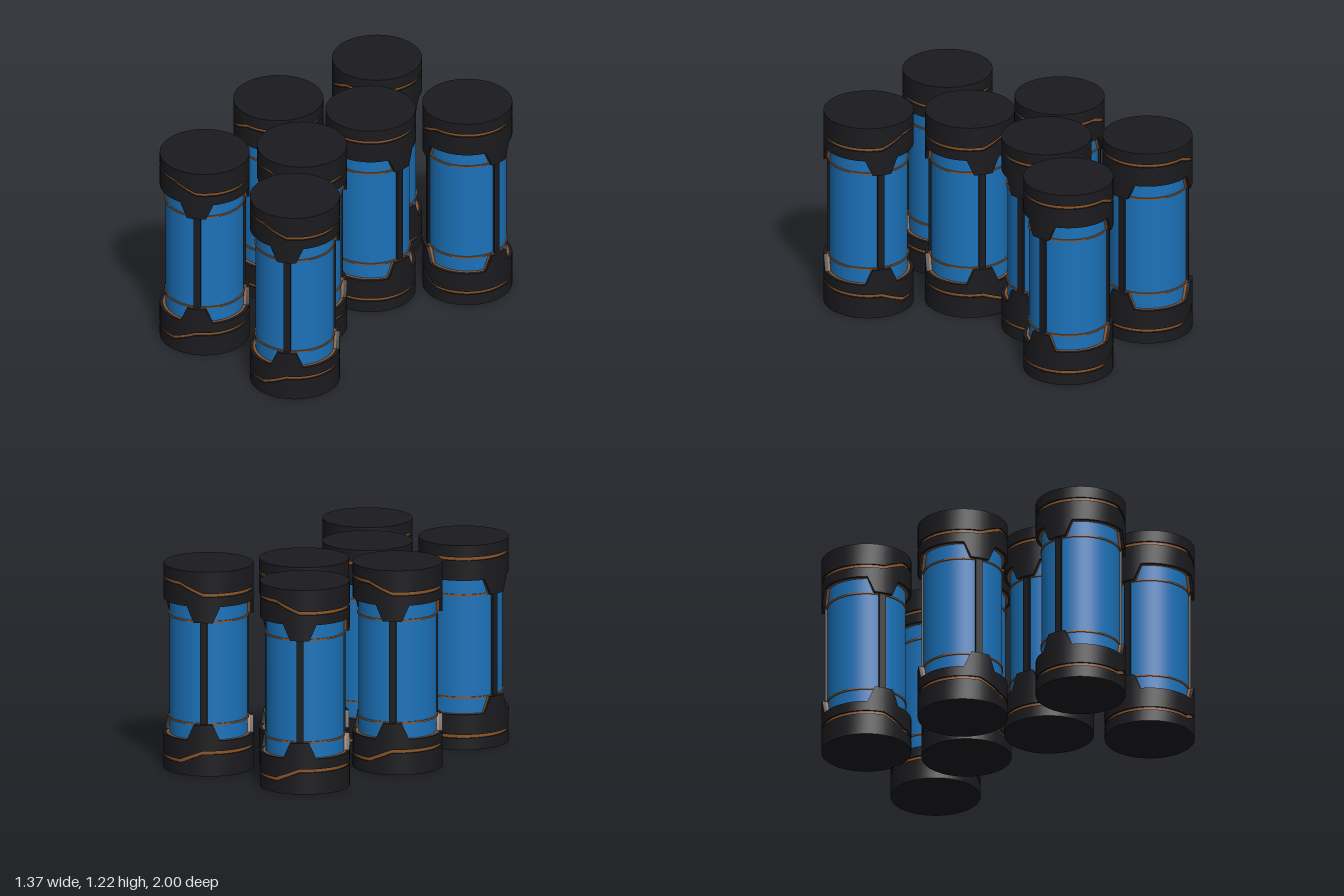
import * as THREE from 'three';
import { toCreasedNormals } from 'three/addons/utils/BufferGeometryUtils.js';

const HEIGHT = 1.22;
const RIBS = [33, 147, 270]; // rib directions in degrees, measured from +z towards +x
const RIM = 0.21, TIP = 0.305; // cap edge and claw tip heights
const BASE_HALF = 22, TIP_HALF = 12.5; // claw half widths in degrees

const dark = new THREE.MeshStandardMaterial({ color: 0x1b1b1f });
const blue = new THREE.MeshStandardMaterial({ color: 0x1b72ba });
const copper = new THREE.MeshStandardMaterial({ color: 0x8c5528 });

// Sampled angles, including every corner of the outlines
const corners = [33, 147, 180];
for (const c of RIBS) for (const d of [BASE_HALF, TIP_HALF]) corners.push(c - d, c + d);
for (let a = 0; a <= 360; a += 5) corners.push(a);
const ANGLES = [...new Set(corners)].sort((a, b) => a - b);

// Cap edge: a flat rim with a tapered claw at each rib
function capEdge(a) {
  let h = RIM;
  for (const c of RIBS) {
    const d = Math.abs(a - c);
    const t = THREE.MathUtils.clamp((BASE_HALF - d) / (BASE_HALF - TIP_HALF), 0, 1);
    h = Math.max(h, THREE.MathUtils.lerp(RIM, TIP, t));
  }
  return h;
}

// Groove line: raised on one side, lowered on the other, with straight ramps
function groove(a) {
  const t = THREE.MathUtils.clamp((90 - Math.abs(a - 90)) / 33, 0, 1);
  return 0.08 + 0.06 * t;
}

// Ring between two radii whose bottom and top heights follow functions of the angle
function shell(r0, r1, bottom, top) {
  const pos = [];
  const loopAt = (a) => {
    const s = Math.sin(a * Math.PI / 180), c = Math.cos(a * Math.PI / 180);
    return [[r1, bottom(a)], [r1, top(a)], [r0, top(a)], [r0, bottom(a)]]
      .map(([r, y]) => [r * s, y, r * c]);
  };
  for (let i = 0; i < ANGLES.length - 1; i++) {
    const p = loopAt(ANGLES[i]), q = loopAt(ANGLES[i + 1]);
    for (const k of [0, 1, 3]) {
      const n = (k + 1) % 4;
      if (k !== 3 || r0 > 0) pos.push(...p[k], ...q[k], ...q[n]);
      if (k !== 1 || r0 > 0) pos.push(...p[k], ...q[n], ...p[n]);
    }
  }
  const g = new THREE.BufferGeometry();
  g.setAttribute('position', new THREE.Float32BufferAttribute(pos, 3));
  return toCreasedNormals(g, Math.PI / 6);
}

const geo = {
  base: shell(0, 0.262, () => 0, (a) => groove(a) - 0.01),
  stripe: shell(0.24, 0.251, (a) => groove(a) - 0.014, (a) => groove(a) + 0.014),
  collar: shell(0.242, 0.262, (a) => groove(a) + 0.01, capEdge),
  liner: shell(0.222, 0.242, () => 0.16, capEdge),
  ring: shell(0.222, 0.235, () => TIP - 0.006, () => TIP + 0.004),
  core: new THREE.CylinderGeometry(0.228, 0.228, HEIGHT - 0.2, 72, 1, true),
  rib: new THREE.BoxGeometry(0.042, HEIGHT - 0.5, 0.03),
};

function add(parent, name, geometry, material) {
  const m = new THREE.Mesh(geometry, material);
  m.name = name;
  parent.add(m);
  return m;
}

function makeCap(name) {
  const cap = new THREE.Group();
  cap.name = name;
  add(cap, 'capBase', geo.base, dark);
  add(cap, 'capStripe', geo.stripe, copper);
  add(cap, 'clawCollar', geo.collar, dark);
  add(cap, 'collarLiner', geo.liner, copper);
  add(cap, 'trimRing', geo.ring, copper);
  return cap;
}

function makeCanister() {
  const canister = new THREE.Group();
  canister.name = 'canister';
  add(canister, 'glassCore', geo.core, blue).position.y = HEIGHT / 2;

  // Vertical ribs joining the claws
  for (const deg of RIBS) {
    const a = deg * Math.PI / 180;
    const rib = add(canister, 'rib', geo.rib, dark);
    rib.position.set(0.226 * Math.sin(a), HEIGHT / 2, 0.226 * Math.cos(a));
    rib.rotation.y = a;
  }

  // The top cap is the bottom cap turned over
  const top = makeCap('topCap');
  top.rotation.x = Math.PI;
  top.position.y = HEIGHT;
  canister.add(makeCap('bottomCap'), top);
  return canister;
}

export function createModel() {
  const model = new THREE.Group();
  model.name = 'canisterCluster';
  // x, z and whether the canister is turned half round
  const places = [
    [-0.305, 0.738, false], [0.423, 0.738, false], [0.045, 0.285, false],
    [-0.426, -0.005, true], [0.045, -0.29, true],
    [-0.335, -0.738, true], [0.395, -0.738, true],
  ];
  for (const [x, z, turned] of places) {
    const canister = makeCanister();
    canister.position.set(x, 0, z);
    canister.rotation.y = turned ? Math.PI : 0;
    model.add(canister);
  }
  return model;
}
